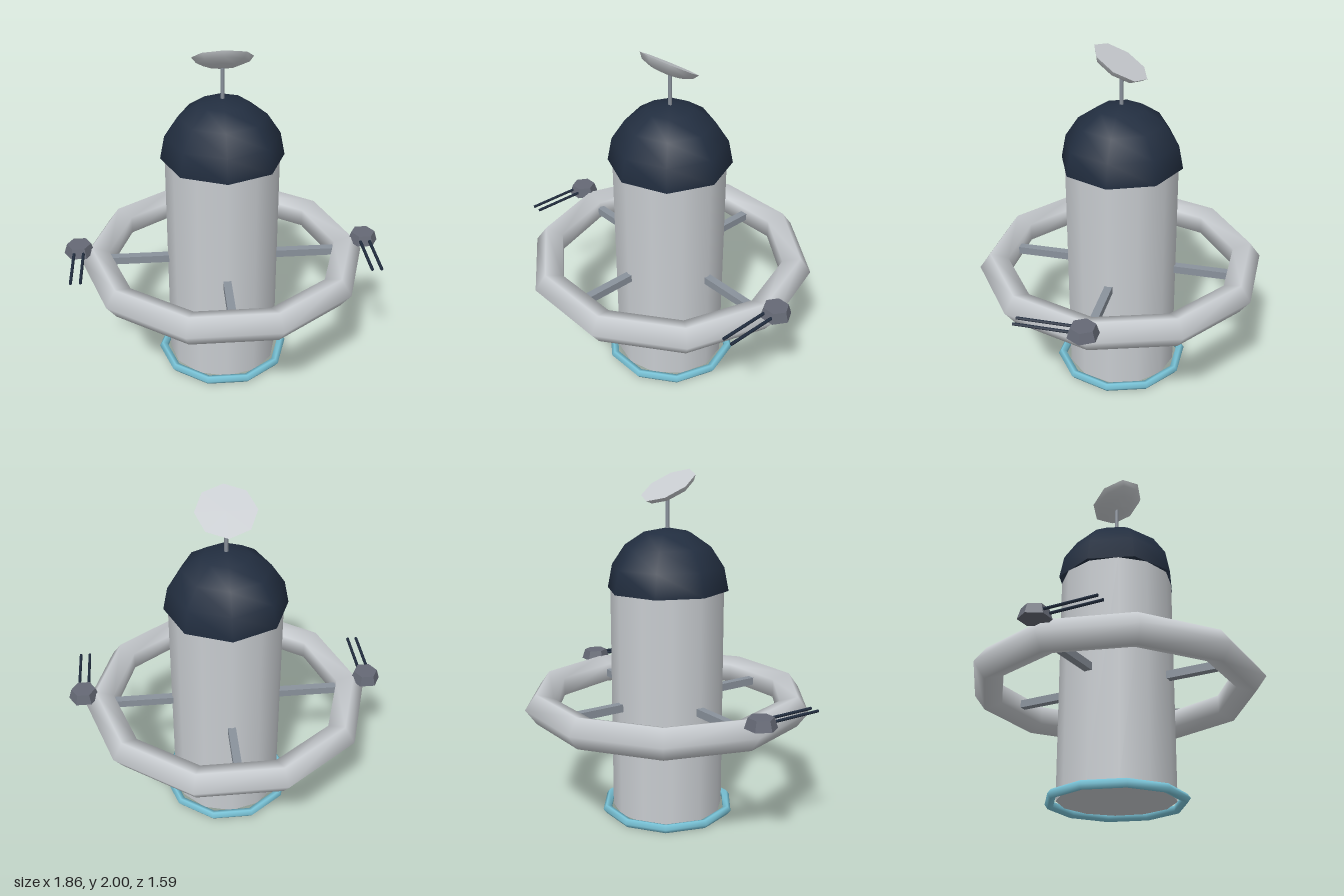
import * as THREE from 'three';

export function createModel() {
  const model = new THREE.Group();
  model.name = 'spaceStation';

  const mat = (name, color) => {
    const m = new THREE.MeshStandardMaterial({ color });
    m.name = name;
    return m;
  };
  const hull = mat('hullGrey', 0xc8ccd0);
  const navy = mat('navy', 0x222e40);
  navy.side = THREE.DoubleSide; // the dome is open underneath
  const strut = mat('strutGrey', 0x8a929c);
  const gunmetal = mat('gunmetal', 0x656975);
  const cyan = mat('cyan', 0x78c2d6);

  const add = (name, geometry, material, x = 0, y = 0, z = 0, parent = model) => {
    const mesh = new THREE.Mesh(geometry, material);
    mesh.name = name;
    mesh.position.set(x, y, z);
    parent.add(mesh);
    return mesh;
  };

  // Central tower with its dome
  const bottom = 0.025, top = 1.333;
  add('tower', new THREE.CylinderGeometry(0.325, 0.325, top - bottom, 12), hull, 0, (top + bottom) / 2);
  add('dome', new THREE.SphereGeometry(0.35, 8, 4, 0, Math.PI * 2, 0, Math.PI / 2), navy, 0, top);

  // Ten-segment rings lying flat
  const ring = (radius, tube) => new THREE.TorusGeometry(radius, tube, 5, 10).rotateX(Math.PI / 2);
  add('habitatRing', ring(0.743, 0.092), hull, 0, 0.683);
  add('engineGlowRing', ring(0.37, 0.026), cyan, 0, 0.025);

  // Four spokes joining the tower to the ring
  for (let i = 0; i < 4; i++) {
    const spoke = new THREE.BoxGeometry(0.42, 0.045, 0.045).translate(0.5, 0, 0);
    add('spoke', spoke, strut, 0, 0.683).rotation.y = i * Math.PI / 2;
  }

  // Mast and tilted dish, opening up and towards the back
  add('mast', new THREE.CylinderGeometry(0.012, 0.012, 0.2, 6), strut, 0, 1.77);
  const dish = new THREE.Group();
  dish.name = 'dish';
  dish.position.set(0, 1.917, 0.004);
  dish.rotation.x = -Math.PI / 6;
  model.add(dish);
  const bowl = [[0, -0.058], [0.083, -0.051], [0.143, -0.03], [0.167, 0]].map(p => new THREE.Vector2(...p));
  add('dishBowl', new THREE.LatheGeometry(bowl, 8), hull, 0, 0, 0, dish);
  add('dishFace', new THREE.CircleGeometry(0.167, 8).rotateX(-Math.PI / 2), hull, 0, 0, 0, dish);

  // Twin-barrelled turrets on both sides
  for (const side of [1, -1]) {
    const turret = new THREE.Group();
    turret.name = side > 0 ? 'leftTurret' : 'rightTurret';
    turret.position.set(side * 0.841, 0.771, 0);
    model.add(turret);
    const base = new THREE.CylinderGeometry(0.07, 0.088, 0.058, 6).toNonIndexed();
    base.computeVertexNormals();
    add('turretBase', base.rotateY(Math.PI / 6), gunmetal, 0, 0, 0, turret);
    for (const x of [-0.027, 0.027]) {
      const barrel = new THREE.CylinderGeometry(0.009, 0.009, 0.34, 6).rotateX(Math.PI / 2);
      add('barrel', barrel, navy, x, 0, 0.2, turret);
    }
  }

  return model;
}
